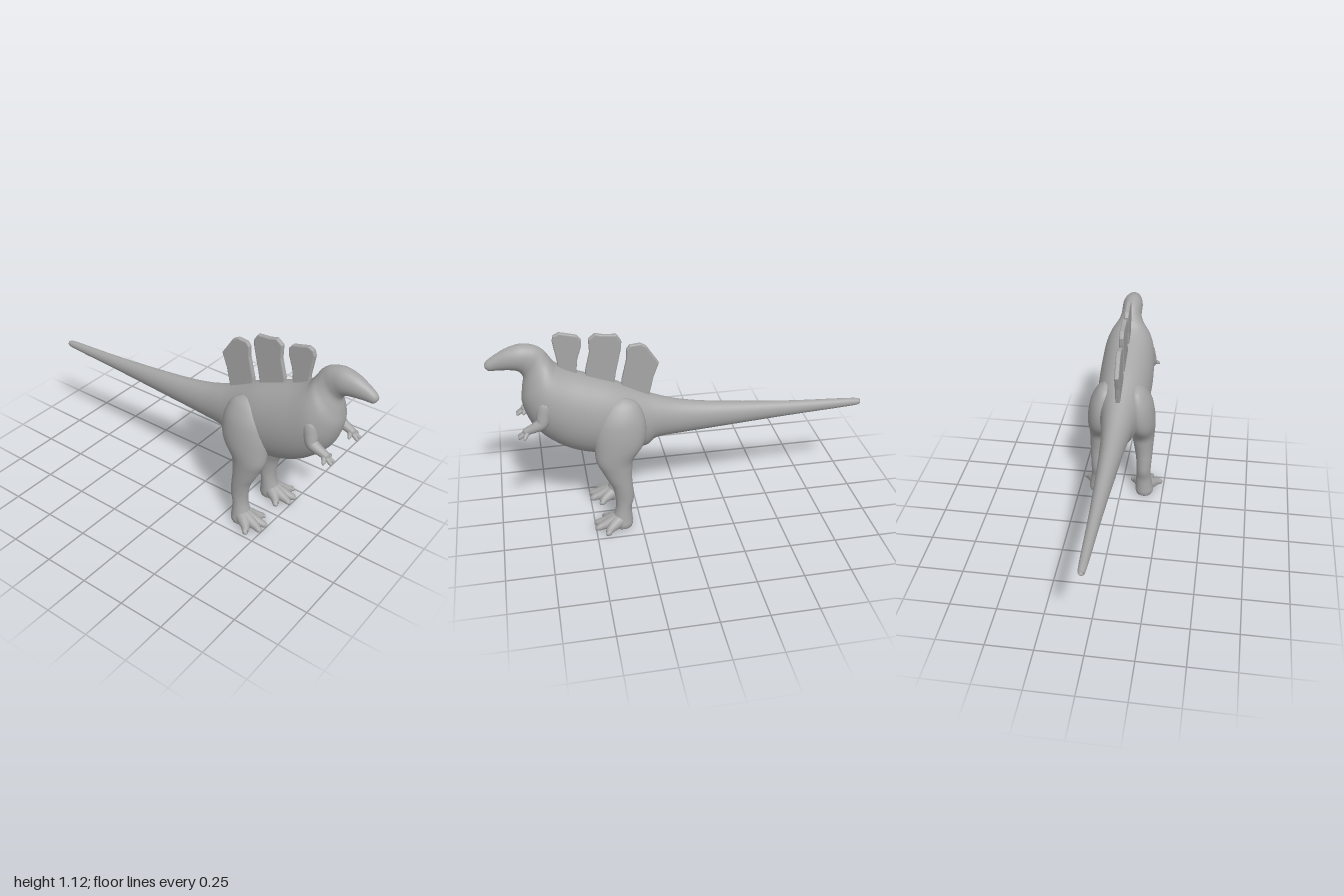
import * as THREE from 'three';

const skin = new THREE.MeshStandardMaterial({ color: 0xa6a6a6 });
skin.name = 'grey skin';
const V = (x, y, z) => new THREE.Vector3(x, y, z);

// Catmull-Rom interpolation of rows of numbers
function smooth(rows, n = 4) {
  const out = [];
  const at = (i) => rows[Math.max(0, Math.min(rows.length - 1, i))];
  for (let i = 0; i < rows.length - 1; i++) {
    for (let k = 0; k < n; k++) {
      const t = k / n;
      out.push(at(i).map((b, c) => {
        const a = at(i - 1)[c], d = at(i + 1)[c], e = at(i + 2)[c];
        return 0.5 * (2 * b + (d - a) * t + (2 * a - 5 * b + 4 * d - e) * t * t + (3 * b - a - 3 * d + e) * t * t * t);
      }));
    }
  }
  out.push(rows[rows.length - 1]);
  return out;
}

// Closed skin over elliptical rings: centre c, half axes u and v
function loft(name, rings, sides = 28) {
  const pos = [], index = [];
  const zero = V(0, 0, 0);
  const all = [{ c: rings[0].c, u: zero, v: zero }, ...rings, { c: rings[rings.length - 1].c, u: zero, v: zero }];
  all.forEach(({ c, u, v }, i) => {
    for (let j = 0; j < sides; j++) {
      const a = (j / sides) * Math.PI * 2;
      const p = c.clone().addScaledVector(u, Math.cos(a)).addScaledVector(v, Math.sin(a));
      pos.push(p.x, Math.max(0, p.y), p.z);
      if (i < all.length - 1) {
        const p0 = i * sides + j, p1 = i * sides + (j + 1) % sides;
        index.push(p0, p1, p1 + sides, p0, p1 + sides, p0 + sides);
      }
    }
  });
  const g = new THREE.BufferGeometry();
  g.setAttribute('position', new THREE.Float32BufferAttribute(pos, 3));
  g.setIndex(index);
  g.computeVertexNormals();
  const m = new THREE.Mesh(g, skin);
  m.name = name;
  return m;
}

// Round limb through [x, y, z, radius] points
function limb(name, points, side) {
  const rows = smooth(points.map(([x, y, z, r]) => [x * side, y, z, r]));
  const rings = rows.map(([x, y, z, r], i) => {
    const a = rows[Math.max(0, i - 1)], b = rows[Math.min(rows.length - 1, i + 1)];
    const d = V(b[0] - a[0], b[1] - a[1], b[2] - a[2]).normalize();
    const u = d.clone().cross(V(1, 0, 0)).normalize();
    const v = d.clone().cross(u);
    return { c: V(x, y, z), u: u.multiplyScalar(r), v: v.multiplyScalar(r) };
  });
  return loft(name, rings, 16);
}

// Thin back plate from a [z, y] outline
function plate(name, outline) {
  const shape = new THREE.Shape(outline.map(([z, y]) => new THREE.Vector2(z, y)));
  const g = new THREE.ExtrudeGeometry(shape, {
    depth: 0.012, bevelEnabled: true, bevelThickness: 0.007, bevelSize: 0.008, bevelOffset: -0.008, bevelSegments: 3,
  });
  g.translate(0, 0, -0.006).rotateY(-Math.PI / 2);
  const m = new THREE.Mesh(g, skin);
  m.name = name;
  return m;
}

export function createModel() {
  const model = new THREE.Group();
  model.name = 'dinosaur';

  // Tail, torso, neck and head: top z, top y, bottom z, bottom y, half width
  const spine = smooth([
    [-1, 0.566, -1, 0.552, 0.008], [-0.985, 0.58, -0.985, 0.538, 0.02],
    [-0.6, 0.603, -0.6, 0.517, 0.034], [-0.2, 0.642, -0.2, 0.492, 0.055],
    [0, 0.675, 0, 0.48, 0.07], [0.13, 0.715, 0.14, 0.468, 0.088],
    [0.22, 0.755, 0.2, 0.425, 0.105], [0.35, 0.82, 0.36, 0.41, 0.14],
    [0.48, 0.87, 0.52, 0.43, 0.153], [0.58, 0.91, 0.66, 0.495, 0.153],
    [0.64, 0.945, 0.78, 0.61, 0.142], [0.662, 0.97, 0.83, 0.74, 0.115],
    [0.68, 1.0, 0.825, 0.83, 0.08], [0.705, 1.035, 0.815, 0.89, 0.06],
    [0.745, 1.062, 0.825, 0.918, 0.057], [0.81, 1.075, 0.845, 0.935, 0.057],
    [0.88, 1.06, 0.885, 0.942, 0.048], [0.94, 1.03, 0.94, 0.944, 0.034],
    [0.985, 1.0, 0.978, 0.944, 0.024], [1.0, 0.98, 0.995, 0.958, 0.012],
  ], 5);
  model.add(loft('body', spine.map(([tz, ty, bz, by, w]) => ({
    c: V(0, (ty + by) / 2, (tz + bz) / 2),
    u: V(0, (ty - by) / 2, (tz - bz) / 2),
    v: V(-w, 0, 0),
  })), 40));

  // Leg rings: y, x, z, half width, half depth
  const legRows = smooth([
    [0.76, 0.085, 0.32, 0.012, 0.02], [0.73, 0.09, 0.325, 0.045, 0.08],
    [0.66, 0.1, 0.335, 0.073, 0.122], [0.58, 0.107, 0.342, 0.083, 0.138],
    [0.5, 0.117, 0.352, 0.078, 0.13], [0.42, 0.124, 0.378, 0.067, 0.1],
    [0.36, 0.127, 0.37, 0.06, 0.082], [0.3, 0.132, 0.357, 0.052, 0.066],
    [0.25, 0.135, 0.343, 0.046, 0.055], [0.18, 0.135, 0.335, 0.042, 0.05],
    [0.12, 0.135, 0.342, 0.044, 0.043], [0.06, 0.138, 0.35, 0.05, 0.053],
    [0.025, 0.14, 0.352, 0.054, 0.057], [0.003, 0.14, 0.352, 0.048, 0.052],
  ]);

  for (const side of [1, -1]) {
    const tag = side > 0 ? 'left' : 'right';
    model.add(loft(tag + 'Leg', legRows.map(([y, x, z, rx, rz]) => ({
      c: V(x * side, y, z), u: V(rx, 0, 0), v: V(0, 0, rz),
    }))));

    // Splayed toes
    for (const [x, z] of [[0.228, 0.45], [0.17, 0.5], [0.118, 0.5], [0.062, 0.45]]) {
      const mid = (t) => [0.14 + (x - 0.14) * t, 0.36 + (z - 0.36) * t];
      const [ax, az] = mid(0.4), [bx, bz] = mid(0.75);
      model.add(limb(tag + 'Toe', [
        [0.14, 0.05, 0.35, 0.045], [ax, 0.036, az, 0.034], [bx, 0.025, bz, 0.022],
        [x, 0.018, z - 0.008, 0.016], [x, 0.016, z + 0.006, 0.006],
      ], side));
    }

    // Short arm bent forward at the elbow
    model.add(limb(tag + 'Arm', [
      [0.085, 0.81, 0.7, 0.02], [0.1, 0.775, 0.715, 0.043], [0.116, 0.72, 0.73, 0.038],
      [0.125, 0.683, 0.742, 0.033], [0.128, 0.665, 0.775, 0.027],
      [0.127, 0.65, 0.81, 0.022], [0.126, 0.64, 0.83, 0.02], [0.126, 0.635, 0.842, 0.008],
    ], side));

    // Fingers
    for (const [x, y, z] of [[0.162, 0.622, 0.835], [0.138, 0.616, 0.862], [0.113, 0.616, 0.862], [0.09, 0.628, 0.83]]) {
      model.add(limb(tag + 'Finger', [
        [0.127, 0.648, 0.81, 0.014], [(x + 0.127) / 2, (y + 0.645) / 2, (z + 0.815) / 2, 0.012],
        [x, y, z, 0.009], [x, y - 0.004, z + 0.005, 0.003],
      ], side));
    }
  }

  // Back plates
  model.add(plate('frontPlate', [[0.55, 0.85], [0.64, 0.88], [0.638, 0.96], [0.657, 1.08], [0.648, 1.108],
    [0.62, 1.122], [0.53, 1.1], [0.51, 1.075], [0.512, 1.04], [0.535, 0.97]]));
  model.add(plate('middlePlate', [[0.36, 0.77], [0.5, 0.82], [0.498, 0.9], [0.473, 1.0], [0.475, 1.075],
    [0.44, 1.102], [0.4, 1.092], [0.33, 1.087], [0.307, 1.05], [0.31, 1.01], [0.34, 0.88]]));
  model.add(plate('rearPlate', [[0.175, 0.7], [0.315, 0.75], [0.312, 0.83], [0.285, 0.94], [0.283, 1.0],
    [0.265, 1.022], [0.21, 1.027], [0.18, 1.01], [0.115, 0.91], [0.145, 0.83]]));

  return model;
}
